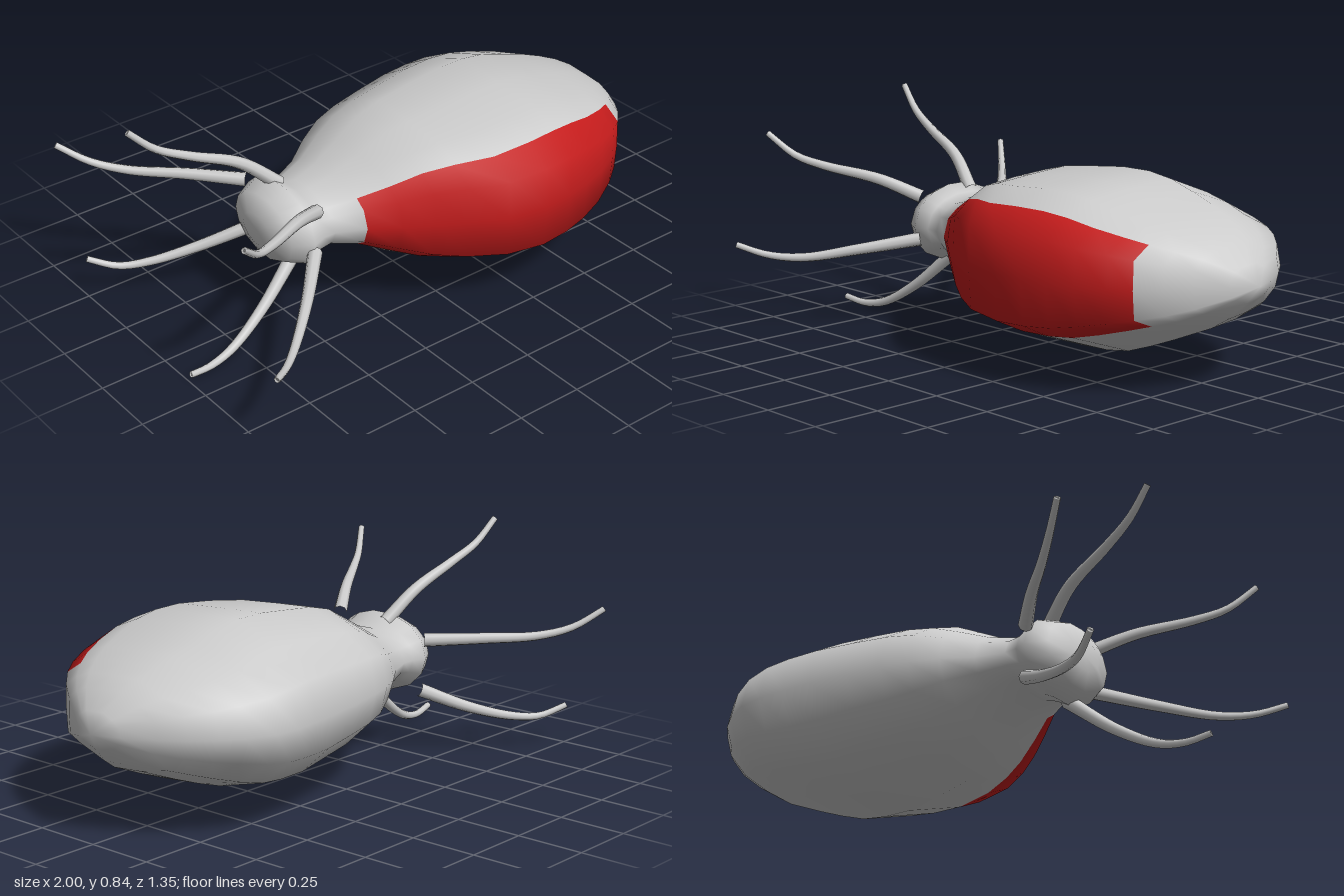
import * as THREE from 'three';

const grey = new THREE.MeshStandardMaterial({ color: 0xcccccc });
const red = new THREE.MeshStandardMaterial({ color: 0xc41c1c });
const AXIS_Y = 0.38;

// Body stations: x, then reach to the front, back, top and bottom of the axis
const STATIONS = [
  [-0.60, 0, 0, 0, 0],
  [-0.60, 0.08, 0.08, 0.06, 0.06],
  [-0.57, 0.17, 0.17, 0.12, 0.12],
  [-0.50, 0.21, 0.21, 0.15, 0.15],
  [-0.45, 0.19, 0.19, 0.12, 0.12],
  [-0.40, 0.19, 0.19, 0.11, 0.10],
  [-0.30, 0.24, 0.23, 0.14, 0.13],
  [-0.20, 0.31, 0.30, 0.19, 0.19],
  [-0.10, 0.37, 0.35, 0.24, 0.25],
  [0.00, 0.43, 0.38, 0.265, 0.28],
  [0.13, 0.50, 0.41, 0.28, 0.295],
  [0.28, 0.52, 0.44, 0.295, 0.315],
  [0.40, 0.51, 0.455, 0.295, 0.31],
  [0.50, 0.49, 0.465, 0.28, 0.295],
  [0.60, 0.46, 0.455, 0.25, 0.26],
  [0.70, 0.41, 0.41, 0.22, 0.22],
  [0.77, 0.36, 0.36, 0.195, 0.19],
  [0.84, 0.29, 0.29, 0.165, 0.16],
  [0.90, 0.21, 0.21, 0.13, 0.12],
  [0.96, 0.10, 0.10, 0.07, 0.06],
  [1.00, 0, 0, 0, 0],
];

// Unit cross-section (z, y), from the blunt front over the top and round the back
const RING = [
  [1, 0.02], [0.99, 0.53], [0.8, 0.75], [0.58, 0.91], [0.2, 0.96],
  [-0.22, 1], [-0.62, 0.75], [-0.93, 0.47], [-1, 0], [-0.92, -0.41],
  [-0.65, -0.75], [-0.22, -0.93], [0.2, -1], [0.75, -0.68], [0.98, -0.5],
];
const FLANK_COLUMNS = [13, 14, 0, 1];

function buildBody() {
  const n = RING.length, pos = [], bodyIndex = [], flankIndex = [];
  for (const [x, front, back, top, bottom] of STATIONS) {
    const boxy = THREE.MathUtils.smoothstep(x, -0.45, 0.0); // round head, blunt mantle
    for (const [u, v] of RING) {
      const len = Math.hypot(u, v);
      const a = THREE.MathUtils.lerp(u / len, u, boxy);
      const b = THREE.MathUtils.lerp(v / len, v, boxy);
      pos.push(x, AXIS_Y + b * (b > 0 ? top : bottom), a * (a > 0 ? front : back));
    }
  }
  for (let i = 0; i < STATIONS.length - 1; i++) {
    const x = (STATIONS[i][0] + STATIONS[i + 1][0]) / 2;
    for (let j = 0; j < n; j++) {
      const k = (j + 1) % n;
      const a = i * n + j, b = i * n + k, c = a + n, d = b + n;
      const isFlank = x > -0.33 && x < 0.77 && FLANK_COLUMNS.includes(j);
      (isFlank ? flankIndex : bodyIndex).push(a, c, b, b, c, d);
    }
  }
  // Both surfaces share one set of smooth normals, so the seam does not show
  const whole = new THREE.BufferGeometry();
  whole.setAttribute('position', new THREE.Float32BufferAttribute(pos, 3));
  whole.setIndex([...bodyIndex, ...flankIndex]);
  whole.computeVertexNormals();
  // End points: straight along the axis
  const nor = whole.attributes.normal;
  const last = (STATIONS.length - 1) * n;
  for (let j = 0; j < n; j++) {
    nor.setXYZ(j, -1, 0, 0);
    nor.setXYZ(last + j, 1, 0, 0);
  }
  const flank = whole.clone();
  flank.setIndex(flankIndex);
  whole.setIndex(bodyIndex);
  return [whole, flank];
}

// Tentacle paths, base to tip
const TENTACLES = {
  upperBack: [[-0.47, 0.50, -0.04], [-0.60, 0.61, -0.08], [-0.78, 0.69, -0.11], [-0.90, 0.75, -0.135], [-0.99, 0.835, -0.155]],
  upperFront: [[-0.48, 0.50, 0.19], [-0.62, 0.56, 0.28], [-0.80, 0.60, 0.39], [-0.90, 0.635, 0.45], [-0.99, 0.715, 0.51]],
  middleBack: [[-0.50, 0.45, -0.20], [-0.65, 0.455, -0.36], [-0.80, 0.46, -0.50], [-0.90, 0.49, -0.59], [-0.99, 0.555, -0.665]],
  middleFront: [[-0.49, 0.34, 0.19], [-0.65, 0.30, 0.36], [-0.80, 0.267, 0.50], [-0.90, 0.275, 0.59], [-0.99, 0.31, 0.665]],
  lowerBack: [[-0.49, 0.26, -0.19], [-0.65, 0.18, -0.30], [-0.80, 0.13, -0.39], [-0.90, 0.12, -0.45], [-0.99, 0.155, -0.51]],
  lowerFront: [[-0.48, 0.26, 0.05], [-0.65, 0.12, 0.09], [-0.80, 0.035, 0.12], [-0.90, 0.017, 0.137], [-0.99, 0.03, 0.153]],
};

function taperedTube(points, baseRadius, tipRadius) {
  const rings = 20, sides = 8;
  const curve = new THREE.CatmullRomCurve3(points.map(p => new THREE.Vector3(...p)));
  const geo = new THREE.TubeGeometry(curve, rings, 1, sides);
  const p = new THREE.Vector3(), pos = geo.attributes.position;
  for (let i = 0; i <= rings; i++) {
    const centre = curve.getPointAt(i / rings);
    // The last two rings sit together at the tip and close it
    const target = i >= rings - 1 ? curve.getPointAt(1) : centre;
    const r = i === rings ? 0 : THREE.MathUtils.lerp(baseRadius, tipRadius, i / (rings - 1));
    for (let j = 0; j <= sides; j++) {
      const k = i * (sides + 1) + j;
      p.fromBufferAttribute(pos, k).sub(centre).multiplyScalar(r).add(target);
      pos.setXYZ(k, p.x, p.y, p.z);
    }
  }
  return geo;
}

export function createModel() {
  const model = new THREE.Group();
  model.name = 'squid';
  const add = (name, geo, mat) => {
    const mesh = new THREE.Mesh(geo, mat);
    mesh.name = name;
    model.add(mesh);
  };

  const [body, flank] = buildBody();
  add('body', body, grey);
  add('redFlank', flank, red);

  for (const [name, points] of Object.entries(TENTACLES)) {
    add(name + 'Tentacle', taperedTube(points, 0.026, 0.012), grey);
  }
  return model;
}
